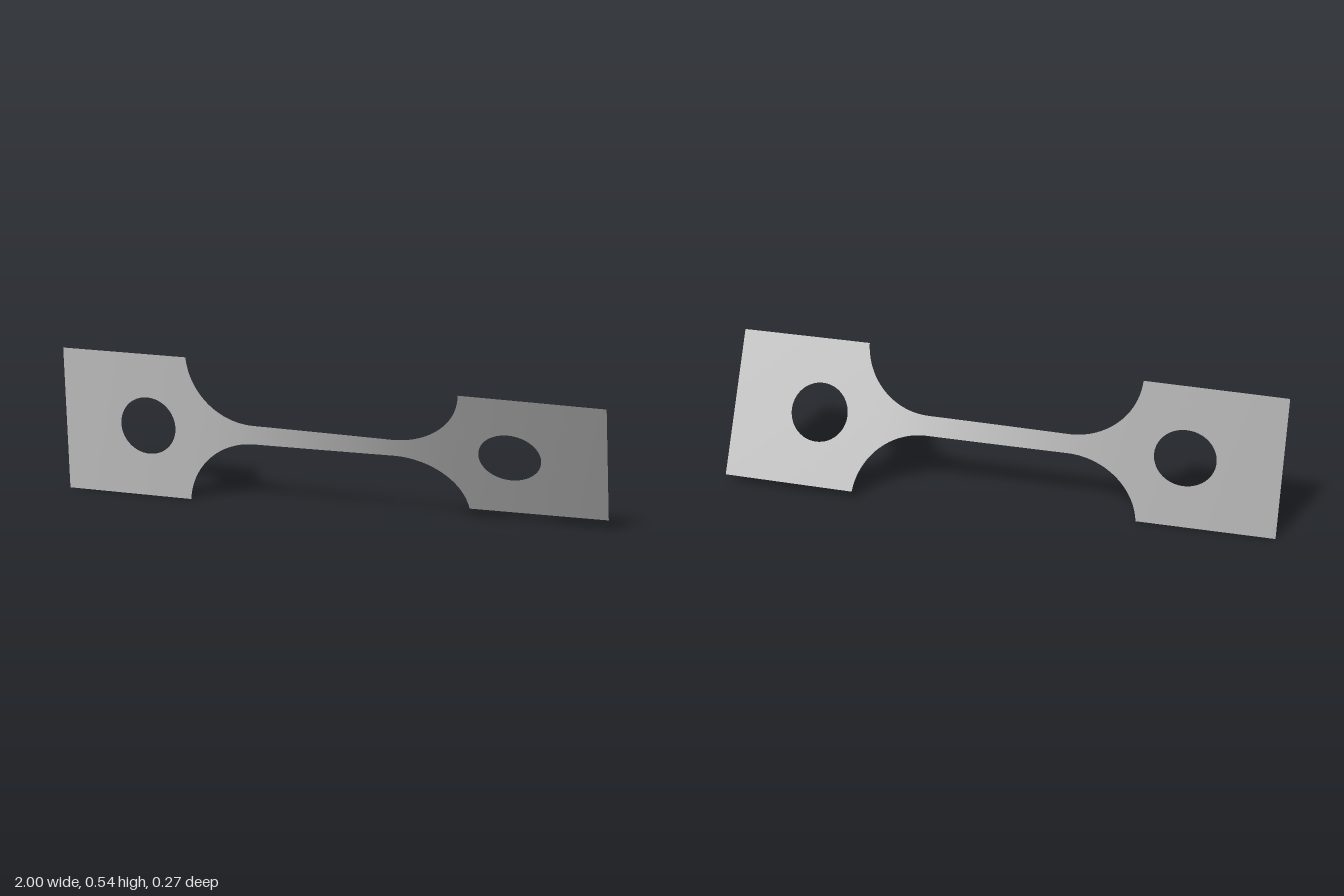
import * as THREE from 'three';

const HALF_TAB = 0.271;   // half height of the end tabs
const HALF_NECK = 0.036;  // half height of the narrow neck
const FILLET = 0.254;     // fillet radius between neck and tab
const NECK_X = 0.257;     // where the fillet starts
const ARC = Math.acos(1 - (HALF_TAB - HALF_NECK) / FILLET);
const TAB_X = NECK_X + FILLET * Math.sin(ARC); // inner edge of a tab
const HOLE_X = 0.669, HOLE_R = 0.108;
const TWIST = Math.PI / 6;

function halfHeight(x) {
  const d = Math.abs(x) - NECK_X;
  if (d <= 0) return HALF_NECK;
  if (Math.abs(x) >= TAB_X) return HALF_TAB;
  return HALF_NECK + FILLET - Math.sqrt(FILLET * FILLET - d * d);
}

// Running twist: a strip twists faster where it is narrower
const STEPS = 800;
const sums = [0];
for (let i = 0; i < STEPS; i++) {
  sums.push(sums[i] + 1 / halfHeight(-1 + (2 * (i + 0.5)) / STEPS));
}
function twistAt(x) {
  const f = THREE.MathUtils.clamp((x + 1) / 2, 0, 1) * STEPS;
  const i = Math.min(Math.floor(f), STEPS - 1);
  return TWIST * THREE.MathUtils.lerp(sums[i], sums[i + 1], f - i) / sums[STEPS];
}

// Grid sheet laid out by point(u, v) -> [x, y], then twisted about the long axis
function sheet(name, nu, nv, material, point) {
  const geometry = new THREE.PlaneGeometry(1, 1, nu, nv);
  const pos = geometry.attributes.position, uv = geometry.attributes.uv;
  for (let i = 0; i < pos.count; i++) {
    const [x, y] = point(uv.getX(i), uv.getY(i));
    const a = twistAt(x);
    pos.setXYZ(i, x, HALF_TAB + y * Math.cos(a), y * Math.sin(a));
  }
  geometry.computeVertexNormals();
  const mesh = new THREE.Mesh(geometry, material);
  mesh.name = name;
  return mesh;
}

// Neck with its fillets
function neckPoint(u, v) {
  const t = 2 * u - 1, s = Math.abs(t);
  let x = (s / 0.4) * NECK_X, half = HALF_NECK;
  if (s > 0.4) {
    const a = ((s - 0.4) / 0.6) * ARC;
    x = NECK_X + FILLET * Math.sin(a);
    half = HALF_NECK + FILLET * (1 - Math.cos(a));
  }
  return [Math.sign(t) * x, (2 * v - 1) * half];
}

// Tab: rings running from the round hole out to the rectangular rim
function tabPoint(side) {
  const x0 = side > 0 ? TAB_X : -1, x1 = side > 0 ? 1 : -TAB_X;
  const corners = [[x0, -HALF_TAB], [x1, -HALF_TAB], [x1, HALF_TAB], [x0, HALF_TAB]];
  const cx = side * HOLE_X;
  return (u, v) => {
    const f = v * 4 + 1e-6, k = Math.floor(f);
    const a = corners[k % 4], b = corners[(k + 1) % 4];
    const rx = THREE.MathUtils.lerp(a[0], b[0], f - k);
    const ry = THREE.MathUtils.lerp(a[1], b[1], f - k);
    const dir = Math.atan2(ry, rx - cx);
    return [
      THREE.MathUtils.lerp(cx + HOLE_R * Math.cos(dir), rx, u),
      THREE.MathUtils.lerp(HOLE_R * Math.sin(dir), ry, u),
    ];
  };
}

export function createModel() {
  const steel = new THREE.MeshStandardMaterial({ color: 0xbababa, side: THREE.DoubleSide });
  steel.name = 'grey metal';

  const group = new THREE.Group();
  group.name = 'twistedTestStrip';
  group.add(
    sheet('neck', 100, 12, steel, neckPoint),
    sheet('leftTab', 8, 80, steel, tabPoint(1)),
    sheet('rightTab', 8, 80, steel, tabPoint(-1)),
  );
  return group;
}
